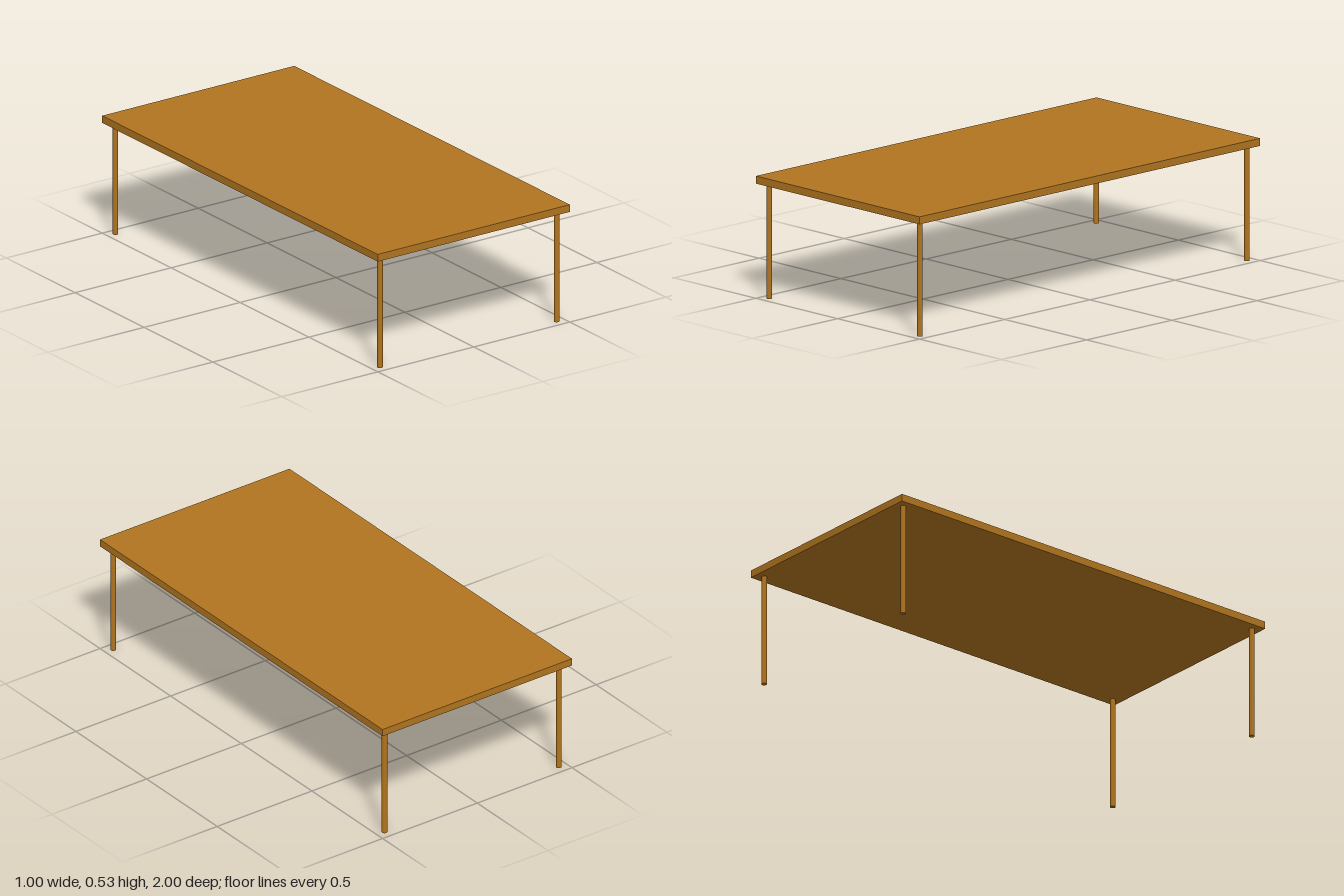
import * as THREE from 'three';

const LEG_HEIGHT = 0.5;
const TOP_THICKNESS = 0.033;
const LEG_RADIUS = 0.012;

export function createModel() {
  const model = new THREE.Group();
  model.name = 'table';
  const wood = new THREE.MeshStandardMaterial({ color: 0xb0741f });

  // Flat slab top
  const top = new THREE.Mesh(new THREE.BoxGeometry(1, TOP_THICKNESS, 2), wood);
  top.name = 'tableTop';
  top.position.y = LEG_HEIGHT + TOP_THICKNESS / 2;
  model.add(top);

  // Four slim round legs, set in by the same distance at each corner
  const legGeometry = new THREE.CylinderGeometry(LEG_RADIUS, LEG_RADIUS, LEG_HEIGHT, 32);
  for (const [endName, z] of [['front', 0.96], ['back', -0.96]]) {
    for (const [sideName, x] of [['Left', 0.46], ['Right', -0.46]]) {
      const leg = new THREE.Mesh(legGeometry, wood);
      leg.name = `${endName}${sideName}Leg`;
      leg.position.set(x, LEG_HEIGHT / 2, z);
      model.add(leg);
    }
  }

  return model;
}
